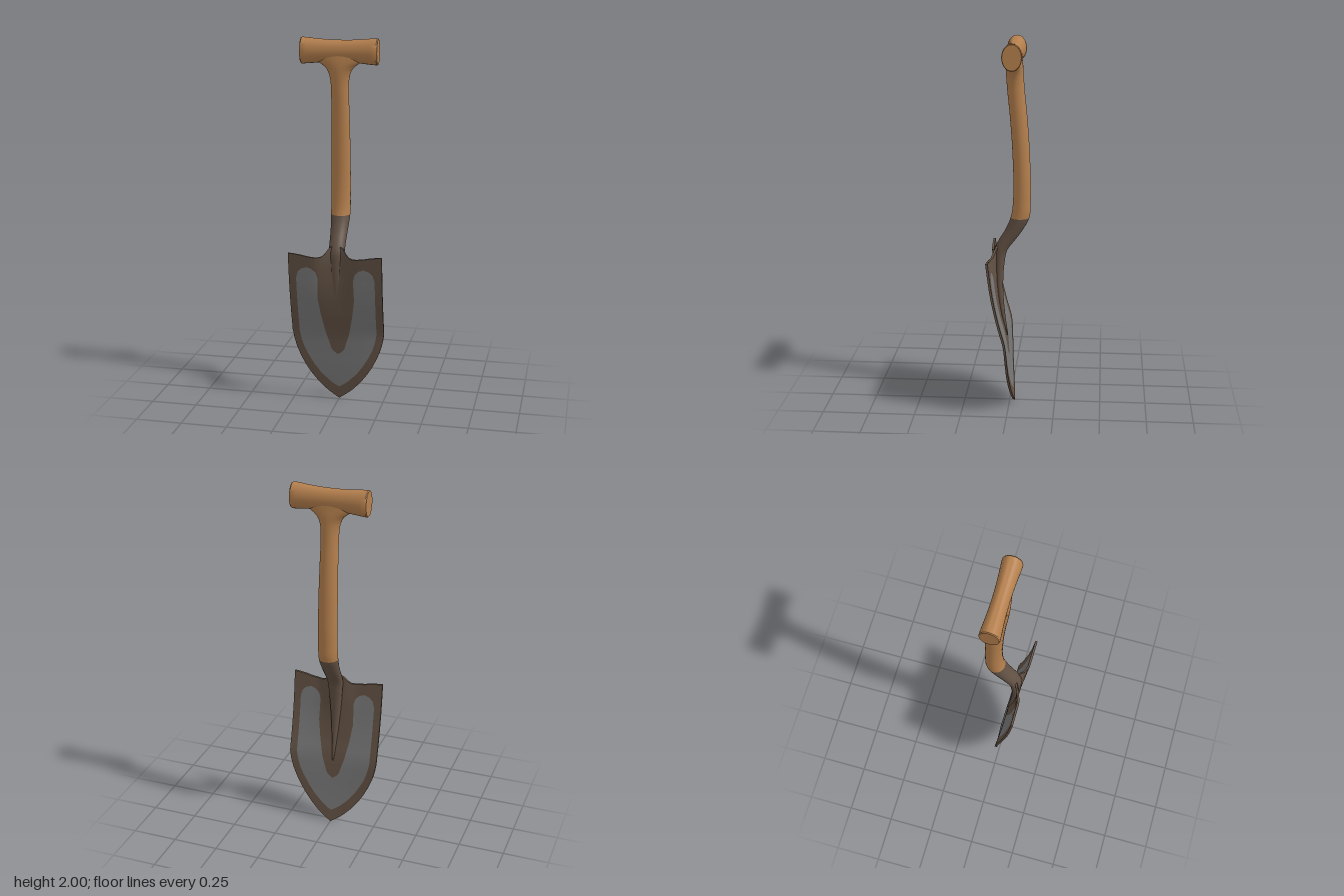
import * as THREE from 'three';
import { toCreasedNormals } from 'three/addons/utils/BufferGeometryUtils.js';

const wood = new THREE.MeshStandardMaterial({ color: 0xb47f4d });
wood.name = 'wood';
const darkMetal = new THREE.MeshStandardMaterial({ color: 0x625144 });
darkMetal.name = 'dark metal';
const wornSteel = new THREE.MeshStandardMaterial({ color: 0x777777 });
wornSteel.name = 'worn steel';

// Turns rows of [position, value, ...] into a lookup function
function track(rows, Type = THREE.LinearInterpolant) {
  const size = rows[0].length - 1;
  const interp = new Type(rows.map(r => r[0]), rows.flatMap(r => r.slice(1)), size);
  return t => {
    const v = interp.evaluate(t);
    return size === 1 ? v[0] : [...v];
  };
}

// Socket and shaft centre line: height, z, half width, half depth
const pole = track([
  [0.38, 0.012, 0.004, 0.003], [0.5, 0.037, 0.014, 0.012], [0.65, 0.056, 0.026, 0.02],
  [0.8, 0.057, 0.038, 0.029], [0.87, 0.048, 0.043, 0.036], [0.92, 0.018, 0.044, 0.043],
  [0.98, -0.022, 0.047, 0.047], [1.05, -0.055, 0.052, 0.05], [1.15, -0.065, 0.052, 0.047],
  [1.4, -0.06, 0.051, 0.046], [1.6, -0.046, 0.048, 0.046], [1.72, -0.034, 0.047, 0.046],
  [1.78, -0.029, 0.05, 0.046], [1.82, -0.026, 0.06, 0.046], [1.85, -0.025, 0.08, 0.046],
  [1.875, -0.024, 0.118, 0.044], [1.91, -0.024, 0.14, 0.04],
], THREE.CubicInterpolant);

function poleGeometry(y0, y1, rings, sides = 28) {
  const pos = [], index = [];
  for (let i = 0; i <= rings; i++) {
    const y = y0 + (y1 - y0) * i / rings;
    const [z, rx, rz] = pole(y);
    for (let j = 0; j < sides; j++) {
      const a = j / sides * Math.PI * 2;
      pos.push(Math.cos(a) * rx, y, z + Math.sin(a) * rz);
      if (i === rings) continue;
      const p = i * sides + j, q = i * sides + (j + 1) % sides;
      index.push(p, p + sides, q, q, p + sides, q + sides);
    }
  }
  const geo = new THREE.BufferGeometry();
  geo.setAttribute('position', new THREE.Float32BufferAttribute(pos, 3));
  geo.setIndex(index);
  geo.computeVertexNormals();
  return geo;
}

// Blade half widths by height: outer edge, outside and inside of the worn band
const edge = track([[0, 0.001], [0.02, 0.03], [0.05, 0.07], [0.1, 0.118], [0.15, 0.157], [0.2, 0.188],
  [0.25, 0.213], [0.3, 0.233], [0.35, 0.247], [0.4, 0.255], [0.86, 0.255]]);
const bandOut = track([[0.07, 0], [0.085, 0.025], [0.1, 0.046], [0.15, 0.098], [0.2, 0.135], [0.25, 0.165],
  [0.3, 0.19], [0.35, 0.206], [0.4, 0.215], [0.72, 0.215], [0.755, 0.205], [0.775, 0.185], [0.785, 0.155]]);
const bandIn = track([[0.27, 0], [0.285, 0.022], [0.3, 0.035], [0.4, 0.066], [0.5, 0.086], [0.6, 0.1],
  [0.72, 0.097], [0.755, 0.107], [0.775, 0.128], [0.785, 0.155]]);

// Blade bend along its height, hollow in front of the socket, and soft crown
const bend = track([[0, -0.024], [0.2, -0.004], [0.3, 0.003], [0.4, 0.013], [0.5, 0.04],
  [0.6, 0.064], [0.7, 0.083], [0.86, 0.104]], THREE.CubicInterpolant);
const hollow = track([[0.5, 0], [0.7, -0.012], [0.8, -0.024], [0.9, -0.045]]);
const crown = track([[0, 0], [0.2, 0.006], [0.4, 0.013], [0.6, 0.006], [0.72, 0]]);
// Shape of the top edge: shoulders dip, then sweep up into the socket
const topLift = track([[0, 0.045], [0.035, 0.035], [0.05, 0.01], [0.07, -0.015], [0.1, -0.021],
  [0.15, -0.016], [0.2, -0.005], [0.255, 0]]);

function bladeGeometry() {
  const rows = [0.07, 0.085, 0.27, 0.285, 0.755, 0.775, 0.785];
  for (let y = 0; y < 0.855; y += 0.02) rows.push(y);
  rows.push(0.01, 0.03, 0.85, 0.86);
  rows.sort((a, b) => a - b);
  const zones = [8, 4, 3];               // columns in centre, band and border
  const half = 15, cols = half * 2 + 1;
  const pos = [], count = rows.length * cols;

  for (const side of [1, -1]) {
    for (const row of rows) {
      const stops = [0, bandIn(row), bandOut(row), edge(row)];
      for (let j = -half; j <= half; j++) {
        let k = Math.abs(j), zone = 0;
        while (zone < 2 && k > zones[zone]) k -= zones[zone++];
        const x = stops[zone] + (stops[zone + 1] - stops[zone]) * k / zones[zone];
        const t = Math.max(0, (row - 0.785) / 0.075);
        const y = row + topLift(x) * t;
        const z = bend(Math.min(y, 0.86))
          + hollow(y) * Math.max(0, 1 - (x / 0.12) ** 2) ** 2
          + crown(y) * (1 - (x / 0.255) ** 2);
        pos.push(Math.sign(j) * x, y, z + side * 0.006);
      }
    }
  }

  const lists = [[], []];
  const v = i => new THREE.Vector3().fromArray(pos, i * 3);
  const tri = (m, a, b, c) => {
    const area = v(b).sub(v(a)).cross(v(c).sub(v(a))).length();
    if (area > 1e-9) lists[m].push(a, b, c);
  };
  const quad = (m, a, b, c, d) => { tri(m, a, b, c); tri(m, a, c, d); };
  for (let i = 0; i < rows.length - 1; i++) {
    for (let j = 0; j < cols - 1; j++) {
      const k = Math.abs(j + 0.5 - half);
      const m = k > zones[0] && k < zones[0] + zones[1] ? 1 : 0;
      const a = i * cols + j, d = a + cols;
      quad(m, a, a + 1, d + 1, d);
      quad(m, a + count, d + count, d + 1 + count, a + 1 + count);
    }
  }
  // Rim joining front and back
  const loop = [];
  for (let i = 0; i < rows.length; i++) loop.push(i * cols + cols - 1);
  for (let j = cols - 2; j >= 0; j--) loop.push((rows.length - 1) * cols + j);
  for (let i = rows.length - 2; i >= 0; i--) loop.push(i * cols);
  loop.forEach((p, i) => {
    const q = loop[(i + 1) % loop.length];
    quad(0, p, p + count, q + count, q);
  });

  const geo = new THREE.BufferGeometry();
  geo.setAttribute('position', new THREE.Float32BufferAttribute(pos, 3));
  geo.setIndex([...lists[0], ...lists[1]]);
  geo.addGroup(0, lists[0].length, 0);
  geo.addGroup(lists[0].length, lists[1].length, 1);
  return toCreasedNormals(geo, Math.PI / 4);
}

// Cross grip: waisted bar with flat ends
function gripGeometry() {
  const profile = [[0, -0.205], [0.066, -0.205], [0.07, -0.2], [0.068, -0.17], [0.063, -0.12], [0.059, -0.06],
    [0.058, 0], [0.059, 0.06], [0.063, 0.12], [0.068, 0.17], [0.07, 0.2], [0.066, 0.205], [0, 0.205]];
  const geo = new THREE.LatheGeometry(profile.map(p => new THREE.Vector2(...p)), 32);
  geo.rotateZ(Math.PI / 2);
  geo.scale(1, 1, 0.75);
  geo.deleteAttribute('uv');
  geo.deleteAttribute('normal');
  return toCreasedNormals(geo, Math.PI / 5);
}

export function createModel() {
  const model = new THREE.Group();
  model.name = 'shovel';
  const add = (name, geometry, material) => {
    const mesh = new THREE.Mesh(geometry, material);
    mesh.name = name;
    model.add(mesh);
    return mesh;
  };
  add('blade', bladeGeometry(), [darkMetal, wornSteel]);
  add('socket', poleGeometry(0.38, 1.05, 44), darkMetal);
  add('shaft', poleGeometry(1.05, 1.91, 50), wood);
  add('grip', gripGeometry(), wood).position.set(0, 1.93, -0.024);
  return model;
}
